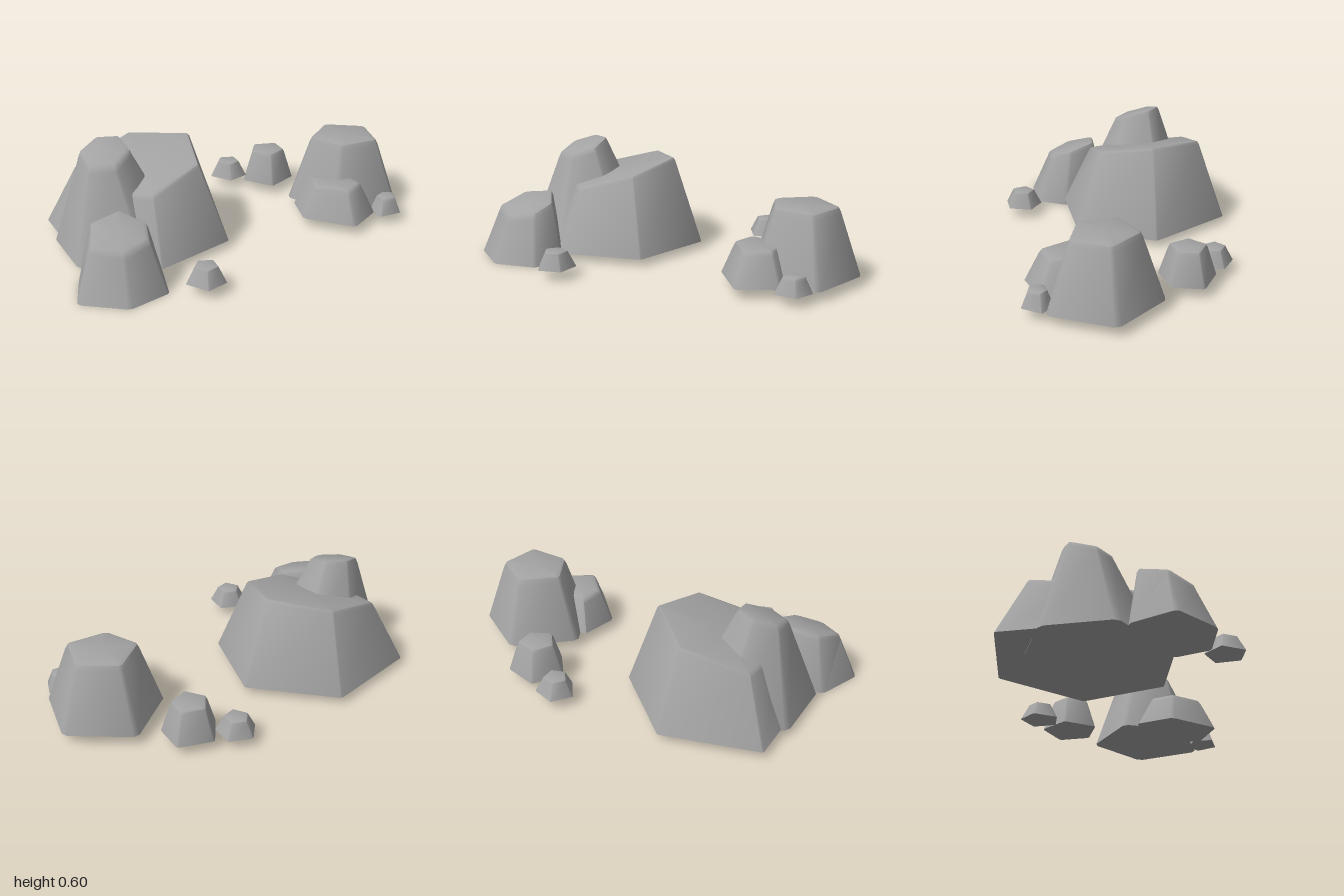
import * as THREE from 'three';
import { toCreasedNormals } from 'three/addons/utils/BufferGeometryUtils.js';

const stone = new THREE.MeshStandardMaterial({ color: 0xa3a3a3 });
stone.name = 'grey stone';

// Cut each corner of a polygon so that the rock's upright edges look worn
function wornCorners(points, cut) {
  const out = [];
  points.forEach((p, i) => {
    const n = points.length;
    for (const q of [points[(i + n - 1) % n], points[(i + 1) % n]]) {
      out.push([p[0] + (q[0] - p[0]) * cut, p[1] + (q[1] - p[1]) * cut]);
    }
  });
  return out;
}

// Rock: a tapered block from a ground outline [x, z], with a rounded, tilted top.
// rim and top are the outline's scale below and above the rounded edge.
function makeRock({ name, outline, base, height, rim, top, bevel, cut = 0.06, shift = [0, 0], tilt = [0, 0] }) {
  const count = outline.length;
  const cx = outline.reduce((s, p) => s + p[0], 0) / count;
  const cz = outline.reduce((s, p) => s + p[1], 0) / count;
  const worn = wornCorners(outline, cut);
  const n = worn.length;
  const tx = cx + shift[0], tz = cz + shift[1];

  const upperRing = (scale, drop) => worn.map(([x, z]) => {
    const dx = (x - cx) * scale, dz = (z - cz) * scale;
    return [tx + dx, height + tilt[0] * dx + tilt[1] * dz - drop, tz + dz];
  });
  const rings = [
    worn.map(([x, z]) => [x, base, z]),
    upperRing(rim, bevel),
    upperRing(rim + (top - rim) * 0.35, bevel * 0.25),
    upperRing(top, 0),
  ];

  const positions = rings.flat(2);
  const index = [];
  for (let r = 0; r < rings.length - 1; r++) {
    for (let i = 0; i < n; i++) {
      const j = (i + 1) % n;
      const a = r * n + i, b = r * n + j, c = a + n, d = b + n;
      index.push(b, a, c, c, d, b);
    }
  }
  // Underside and top
  const under = rings.length * n, over = under + 1, last = (rings.length - 1) * n;
  positions.push(cx, base, cz, tx, height, tz);
  for (let i = 0; i < n; i++) {
    const j = (i + 1) % n;
    index.push(under, i, j, over, last + j, last + i);
  }

  const geometry = new THREE.BufferGeometry();
  geometry.setAttribute('position', new THREE.Float32BufferAttribute(positions, 3));
  geometry.setIndex(index);
  const mesh = new THREE.Mesh(toCreasedNormals(geometry, 0.75), stone);
  mesh.name = name;
  return mesh;
}

const pebble = { base: 0.055, height: 0.145, rim: 0.66, top: 0.48, bevel: 0.02, cut: 0.03 };

const rocks = [
  // Left cluster
  {
    name: 'largeBoulder', base: 0.04, height: 0.437, rim: 0.68, top: 0.62, bevel: 0.02, cut: 0.015,
    tilt: [0.24, -0.145],
    outline: [[-0.96, -0.4], [-0.45, -0.59], [-0.03, -0.27], [-0.1, 0.2], [-0.53, 0.38], [-0.91, 0.07]],
  },
  {
    name: 'tallRock', base: 0.035, height: 0.567, rim: 0.4, top: 0.31, bevel: 0.03,
    shift: [-0.06, 0], tilt: [0.15, -0.32],
    outline: [[-0.97, -0.17], [-0.68, -0.36], [-0.38, -0.26], [-0.31, 0.08], [-0.58, 0.32], [-0.93, 0.21]],
  },
  {
    name: 'frontRock', base: 0, height: 0.3, rim: 0.68, top: 0.55, bevel: 0.03,
    shift: [0, -0.03], tilt: [0.05, -0.33],
    outline: [[-0.94, 0.26], [-0.69, 0.19], [-0.52, 0.37], [-0.55, 0.56], [-0.775, 0.645], [-1.01, 0.51]],
  },
  // Right cluster
  {
    name: 'rightBoulder', base: 0.055, height: 0.425, rim: 0.63, top: 0.5, bevel: 0.035,
    outline: [[0.4, -0.17], [0.67, -0.44], [1.01, -0.26], [0.96, 0.11], [0.58, 0.13]],
  },
  {
    name: 'rightLowRock', base: 0.055, height: 0.235, rim: 0.66, top: 0.5, bevel: 0.025,
    outline: [[0.41, -0.1], [0.72, -0.08], [0.79, 0.18], [0.6, 0.32], [0.375, 0.12]],
  },
  {
    name: 'backRock', base: 0.055, height: 0.235, rim: 0.68, top: 0.5, bevel: 0.025, cut: 0.05,
    outline: [[0.335, -0.645], [0.53, -0.61], [0.545, -0.435], [0.38, -0.34], [0.25, -0.48]],
  },
  // Small loose stones
  { ...pebble, name: 'backPebble', outline: [[0.15, -0.71], [0.28, -0.68], [0.29, -0.55], [0.175, -0.5], [0.085, -0.605]] },
  { ...pebble, name: 'frontPebble', outline: [[-0.405, 0.49], [-0.28, 0.52], [-0.275, 0.65], [-0.39, 0.7], [-0.475, 0.595]] },
  { ...pebble, name: 'rightPebble', outline: [[0.77, 0.15], [0.86, 0.09], [0.945, 0.13], [0.915, 0.245], [0.79, 0.255]] },
];

export function createModel() {
  const group = new THREE.Group();
  group.name = 'rocks';
  rocks.forEach((rock) => group.add(makeRock(rock)));
  return group;
}
